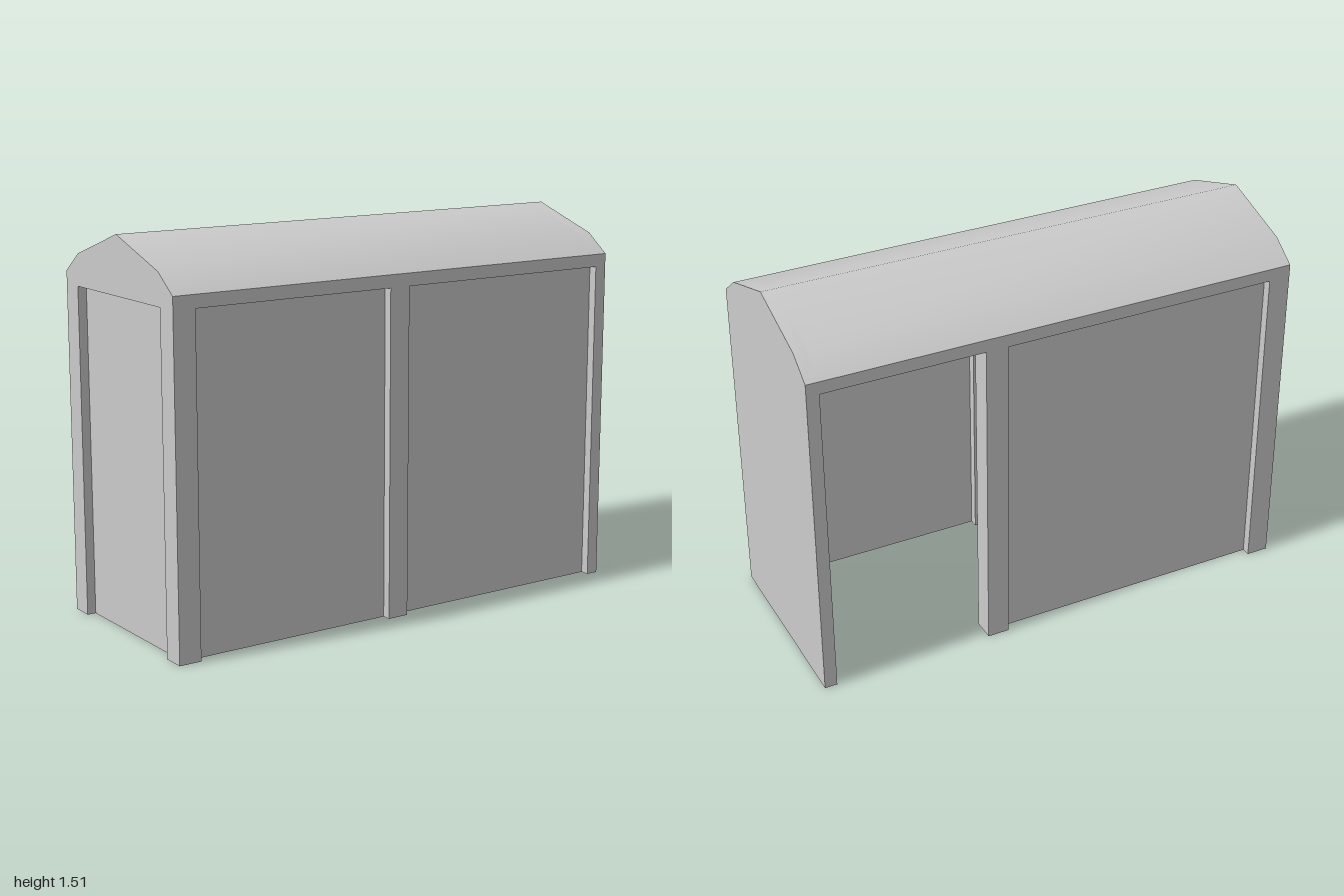
import * as THREE from 'three';
import { toCreasedNormals } from 'three/addons/utils/BufferGeometryUtils.js';

const material = new THREE.MeshStandardMaterial({ color: 0xcccccc });
const EAVE = 1.335, HEAD = 1.285, POST = 0.09;

// roof outline as [z, y], optionally shrunk inwards by t
const roofLine = (t = 0) => [
  [-0.4 + t, EAVE - t * 0.4], [-0.3 + t * 0.3, 1.41 - t],
  [0, 1.51 - t],
  [0.3 - t * 0.3, 1.41 - t], [0.4 - t, EAVE - t * 0.4],
];

export function createModel() {
  const group = new THREE.Group();

  const add = (name, geometry) => {
    const mesh = new THREE.Mesh(geometry, material);
    mesh.name = name;
    group.add(mesh);
  };
  const box = (name, x0, x1, y0, y1, z0, z1) => {
    const g = new THREE.BoxGeometry(x1 - x0, y1 - y0, z1 - z0);
    g.translate((x0 + x1) / 2, (y0 + y1) / 2, (z0 + z1) / 2);
    add(name, g);
  };
  // symmetric z/y section swept along x, smooth over the shallow roof bends
  const prism = (name, points, x0, x1) => {
    const shape = new THREE.Shape(points.map(([z, y]) => new THREE.Vector2(z, y)));
    const g = new THREE.ExtrudeGeometry(shape, { depth: x1 - x0, bevelEnabled: false });
    g.rotateY(Math.PI / 2).translate(x0, 0, 0);
    add(name, toCreasedNormals(g, 0.7));
  };

  // roof shell with its eave beams
  const inner = roofLine(0.02);
  prism('roof', [
    [-0.4, HEAD], ...roofLine(), [0.4, HEAD],
    [0.38, HEAD], ...inner.slice().reverse(), [-0.38, HEAD],
  ], -1, 0.95);

  // closed loft under the roof, stopping short of the solid end wall
  prism('loft', [[-0.38, HEAD], ...inner, [0.38, HEAD]], -1, 0.79);

  // solid gable wall
  prism('endWall', [[-0.4, 0], ...roofLine(), [0.4, 0]], 0.95, 1);

  // posts
  for (const s of [-1, 1]) {
    const z = s * (0.4 - POST / 2);
    box('cornerPost', -1, -0.91, 0, HEAD, z - POST / 2, z + POST / 2);
  }
  box('frontPost', -0.072, 0.015, 0, HEAD, 0.4 - POST, 0.4);
  box('backPost', 0.217, 0.306, 0, HEAD, -0.4, -0.4 + POST);

  // recessed wall panels, leaving one back bay open
  box('frontPanel', -0.91, -0.072, 0, HEAD, 0.345, 0.365);
  box('frontPanel', 0.015, 0.95, 0, HEAD, 0.345, 0.365);
  box('backPanel', -0.91, 0.217, 0, HEAD, -0.365, -0.345);
  box('sidePanel', -0.965, -0.945, 0, HEAD, -0.4 + POST, 0.4 - POST);

  return group;
}
